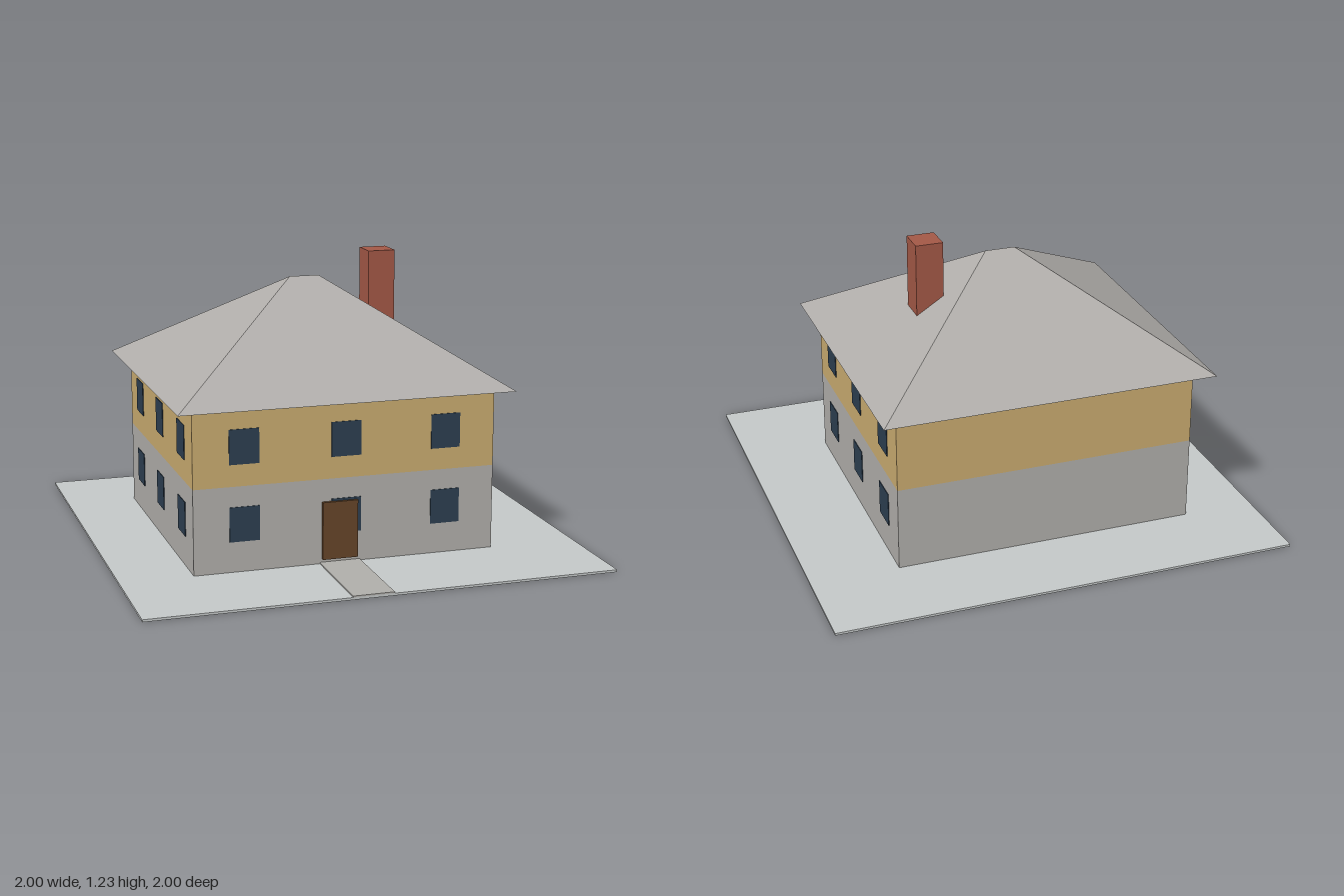
import * as THREE from 'three';

const mat = (name, color) => {
  const m = new THREE.MeshStandardMaterial({ color });
  m.name = name;
  return m;
};

export function createModel() {
  const house = new THREE.Group();
  house.name = 'house';

  const groundGrey = mat('groundGrey', 0xc4c8c8);
  const stone = mat('stone', 0xb0aeaa);
  const ochre = mat('ochrePlaster', 0xc9ab70);
  const roofGrey = mat('roofGrey', 0xb0adaa);
  const brick = mat('brick', 0xa35846);
  const glass = mat('windowBlue', 0x2c3e50);
  const wood = mat('doorBrown', 0x654529);

  // Box given by its extents on each axis
  const box = (name, material, [x0, x1], [y0, y1], [z0, z1], parent = house) => {
    const mesh = new THREE.Mesh(new THREE.BoxGeometry(x1 - x0, y1 - y0, z1 - z0), material);
    mesh.position.set((x0 + x1) / 2, (y0 + y1) / 2, (z0 + z1) / 2);
    mesh.name = name;
    parent.add(mesh);
    return mesh;
  };

  const X = [-0.69, 0.62], Z = [-0.62, 0.56];
  const cx = -0.035, cz = -0.03;

  // Plot and front path
  box('ground', groundGrey, [-1, 1], [0, 0.01], [-1, 1]);
  box('path', stone, [-0.15, 0.025], [0.005, 0.016], [0.56, 1]);

  // Two storeys
  box('lowerWalls', stone, X, [0.005, 0.375], Z);
  box('upperWalls', ochre, X, [0.375, 0.705], Z);

  // Hipped roof: a box whose top is drawn in to a short ridge
  const eave = 0.705, ridge = 1.127;
  const roofGeo = new THREE.BoxGeometry(1.456, ridge - eave, 1.33);
  const p = roofGeo.attributes.position;
  for (let i = 0; i < p.count; i++) {
    if (p.getY(i) > 0) {
      p.setX(i, Math.sign(p.getX(i)) * 0.065);
      p.setZ(i, 0);
    }
  }
  roofGeo.computeVertexNormals();
  const roof = new THREE.Mesh(roofGeo, roofGrey);
  roof.position.set(cx, (eave + ridge) / 2, -0.035);
  roof.name = 'roof';
  house.add(roof);

  box('chimney', brick, [0.25, 0.37], [0.75, 1.227], [-0.125, 0]);
  box('door', wood, [-0.14, 0.013], [0.03, 0.278], [0.555, 0.575]);

  // Windows: three per storey on the front and both sides, none at the back
  const windows = new THREE.Group();
  windows.name = 'windows';
  house.add(windows);
  const half = 0.064, t = 0.003;
  for (const [y0, y1] of [[0.14, 0.288], [0.468, 0.616]]) {
    for (const k of [-1, 0, 1]) {
      const wx = cx + k * 0.438, wz = cz + k * 0.395;
      box('frontWindow', glass, [wx - half, wx + half], [y0, y1], [Z[1] - t, Z[1] + t], windows);
      for (const x of X)
        box('sideWindow', glass, [x - t, x + t], [y0, y1], [wz - half, wz + half], windows);
    }
  }

  return house;
}
